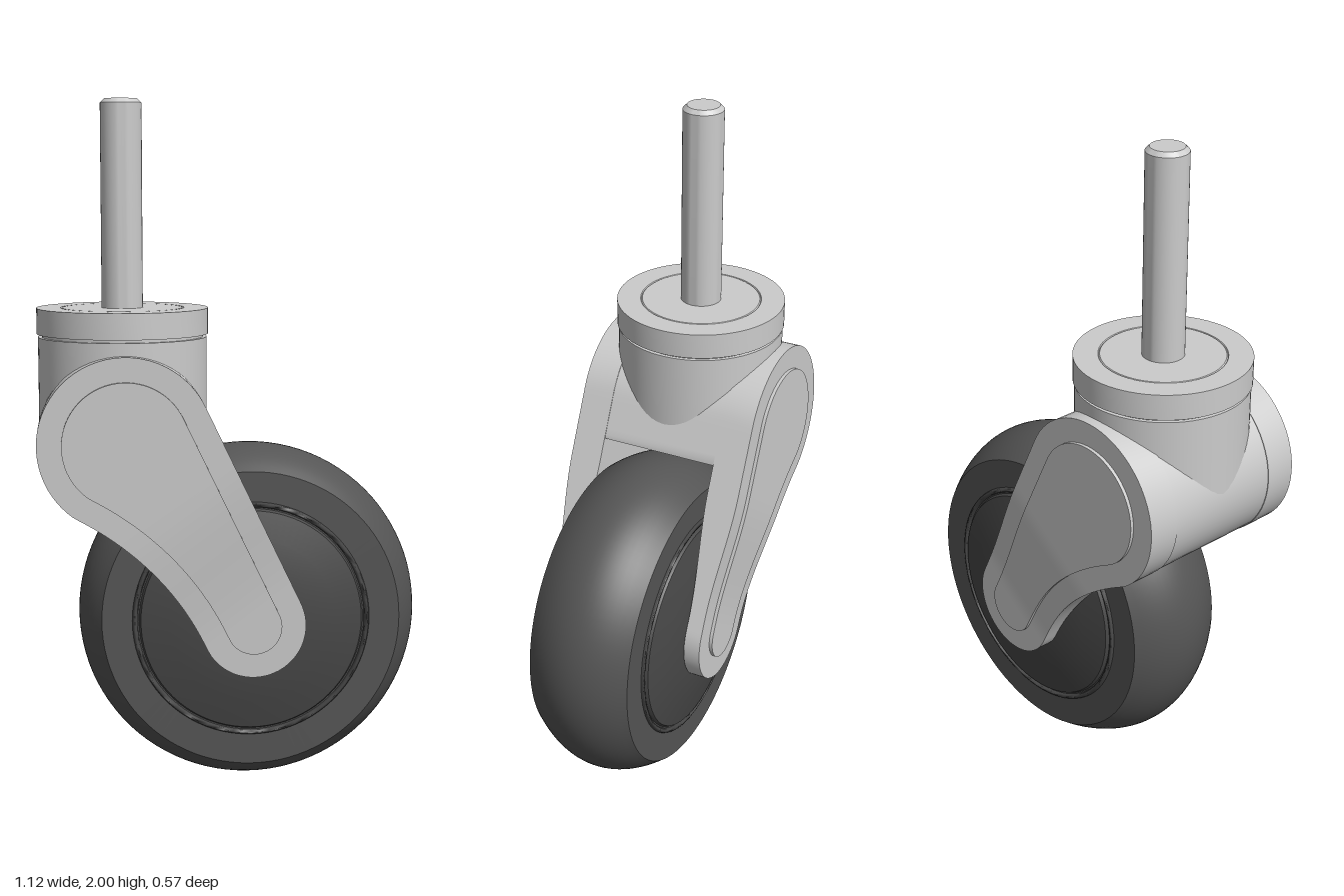
import * as THREE from 'three';
import { toCreasedNormals } from 'three/addons/utils/BufferGeometryUtils.js';

// Swivel pivot, wheel axle, and the arm direction between them
const PIVOT = new THREE.Vector2(-0.31, 1.03);
const AXLE = new THREE.Vector2(0.055, 0.5);
const LENGTH = PIVOT.distanceTo(AXLE);
const DIR = AXLE.clone().sub(PIVOT).normalize();
const SIDE = new THREE.Vector2(-DIR.y, DIR.x);
const BIG = 0.25, SMALL = 0.15;

const metal = new THREE.MeshStandardMaterial({ color: 0xcccccc });
const rubber = new THREE.MeshStandardMaterial({ color: 0x555555 });
const plastic = new THREE.MeshStandardMaterial({ color: 0x484848 });

function addMesh(parent, name, geometry, material, crease = 0.5) {
  const mesh = new THREE.Mesh(toCreasedNormals(geometry, crease), material);
  mesh.name = name;
  parent.add(mesh);
  return mesh;
}

const lathe = (points, segments = 72) =>
  new THREE.LatheGeometry(points.map(([r, y]) => new THREE.Vector2(r, y)), segments);

// Half widths of the teardrop arm at distance s from the pivot
function armWidths(s, R, r) {
  const circle = (rad, d) => Math.sqrt(Math.max(0, rad * rad - d * d));
  // straight tangent edge
  const k = (R - r) / LENGTH, c = Math.sqrt(1 - k * k);
  const r0 = R * k, r1 = LENGTH + r * k;
  let right;
  if (s <= r0) right = circle(R, s);
  else if (s >= r1) right = circle(r, s - LENGTH);
  else right = THREE.MathUtils.mapLinear(s, r0, r1, R * c, r * c);
  // hollow curved edge
  const l0 = 0.349 * R, l1 = LENGTH - 0.166 * r, span = l1 - l0;
  let left;
  if (s <= l0) left = circle(R, s);
  else if (s >= l1) left = circle(r, s - LENGTH);
  else {
    const u = (s - l0) / span, u2 = u * u, u3 = u2 * u;
    left = (2 * u3 - 3 * u2 + 1) * circle(R, l0) + (u3 - 2 * u2 + u) * span * -0.53
      + (3 * u2 - 2 * u3) * circle(r, l1 - LENGTH) + (u3 - u2) * span * 0.168;
  }
  return { left, right };
}

// Stations down the arm, with the left and right outline point at each
function armStations(inset) {
  const R = BIG - inset, r = SMALL - inset, list = [];
  for (let i = 0; i < 16; i++) list.push(-R * Math.cos((i / 16) * Math.PI / 2));
  for (let i = 0; i < 32; i++) list.push((i / 32) * LENGTH);
  for (let i = 0; i <= 14; i++) list.push(LENGTH + r * Math.sin((i / 14) * Math.PI / 2));
  return list.map((s) => {
    const w = armWidths(s, R, r);
    const at = (o) => PIVOT.clone().addScaledVector(DIR, s).addScaledVector(SIDE, o);
    return { s, left: at(-w.left), right: at(w.right) };
  });
}

// Plate lofted down the arm, its thickness range easing from top to foot
function armPlate(inset, inner, outer, sign) {
  const stations = armStations(inset), pos = [], index = [];
  for (const { s, left, right } of stations) {
    const t = THREE.MathUtils.smoothstep(s, 0.24, 0.62);
    const zi = sign * THREE.MathUtils.lerp(inner[0], inner[1], t);
    const zo = sign * THREE.MathUtils.lerp(outer[0], outer[1], t);
    pos.push(left.x, left.y, zo, right.x, right.y, zo, right.x, right.y, zi, left.x, left.y, zi);
  }
  for (let i = 0; i < stations.length - 1; i++) {
    for (let j = 0; j < 4; j++) {
      const a = i * 4 + j, b = i * 4 + (j + 1) % 4, c = a + 4, d = b + 4;
      if (sign > 0) index.push(a, c, b, b, c, d);
      else index.push(a, b, c, b, d, c);
    }
  }
  const g = new THREE.BufferGeometry();
  g.setAttribute('position', new THREE.Float32BufferAttribute(pos, 3));
  g.setIndex(index);
  return g;
}

// Solid bridge between the plates, cut away around the wheel
function bridge() {
  const clearance = 0.52, halfWidth = 0.2;
  const clear = (p) => p.distanceTo(AXLE) > clearance;
  const stations = armStations(0.002);
  const right = stations.map((q) => q.right).filter(clear);
  const left = stations.map((q) => q.left).filter(clear).reverse();
  const angle = (p) => Math.atan2(p.y - AXLE.y, p.x - AXLE.x);
  const a0 = angle(right[right.length - 1]), a1 = angle(left[0]);
  const arch = [];
  for (let i = 0; i <= 20; i++) {
    const a = THREE.MathUtils.lerp(a0, a1, i / 20);
    arch.push(new THREE.Vector2(AXLE.x + clearance * Math.cos(a), AXLE.y + clearance * Math.sin(a)));
  }
  left.pop(); // shares the top point with the right side
  const g = new THREE.ExtrudeGeometry(new THREE.Shape([...right, ...arch, ...left]),
    { depth: halfWidth * 2, bevelEnabled: false });
  return g.translate(0, 0, -halfWidth);
}

export function createModel() {
  const model = new THREE.Group();
  model.name = 'casterWheel';

  // Threaded-style stem, swivel cap and neck, turned about the swivel axis
  const swivel = new THREE.Group();
  swivel.name = 'swivel';
  swivel.position.x = PIVOT.x;
  model.add(swivel);
  addMesh(swivel, 'stem', lathe([[0, 1.38], [0.06, 1.38], [0.06, 1.988], [0.048, 2], [0, 2]], 40), metal);
  addMesh(swivel, 'swivelCap', lathe([[0, 1.325], [0.25, 1.325], [0.25, 1.4], [0.18, 1.4], [0.178, 1.397],
    [0.175, 1.4], [0, 1.4]]), metal);
  addMesh(swivel, 'swivelGap', lathe([[0.235, 1.31], [0.235, 1.33]]), metal);
  addMesh(swivel, 'neck', lathe([[0, 1.03], [0.246, 1.03], [0.246, 1.316], [0, 1.316]]), metal);

  // Fork: bridge plus a plate and raised panel on each side
  const fork = new THREE.Group();
  fork.name = 'fork';
  model.add(fork);
  addMesh(fork, 'forkBridge', bridge(), metal);
  for (const sign of [1, -1]) {
    const label = sign > 0 ? 'front' : 'back';
    addMesh(fork, label + 'ForkPlate', armPlate(0, [0.18, 0.202], [0.277, 0.252], sign), metal);
    addMesh(fork, label + 'ForkPanel', armPlate(0.07, [0.25, 0.23], [0.287, 0.262], sign), metal);
  }

  // Wheel: built about y, then turned so its axle lies along z
  const wheel = new THREE.Group();
  wheel.name = 'wheel';
  wheel.position.set(AXLE.x, AXLE.y, 0);
  wheel.rotation.x = Math.PI / 2;
  model.add(wheel);
  const tread = [[0.3, -0.16], [0.435, -0.16]];
  for (let i = 1; i < 16; i++) {
    const y = -0.16 + 0.02 * i;
    tread.push([0.5 - 0.065 * (y / 0.16) ** 2, y]);
  }
  tread.push([0.435, 0.16], [0.3, 0.16]);
  addMesh(wheel, 'tire', lathe(tread, 96), rubber, 0.6);
  addMesh(wheel, 'hub', lathe([[0, -0.2], [0.15, -0.2], [0.24, -0.187], [0.322, -0.17], [0.33, -0.155],
    [0.33, 0.155], [0.322, 0.17], [0.24, 0.187], [0.15, 0.2], [0, 0.2]], 80), plastic);
  for (const sign of [1, -1]) {
    const rim = addMesh(wheel, 'hubRim', new THREE.TorusGeometry(0.339, 0.008, 8, 80), plastic, 2);
    rim.rotation.x = Math.PI / 2;
    rim.position.y = sign * 0.16;
  }
  addMesh(wheel, 'axle', new THREE.CylinderGeometry(0.11, 0.11, 0.43, 40), plastic);

  return model;
}
